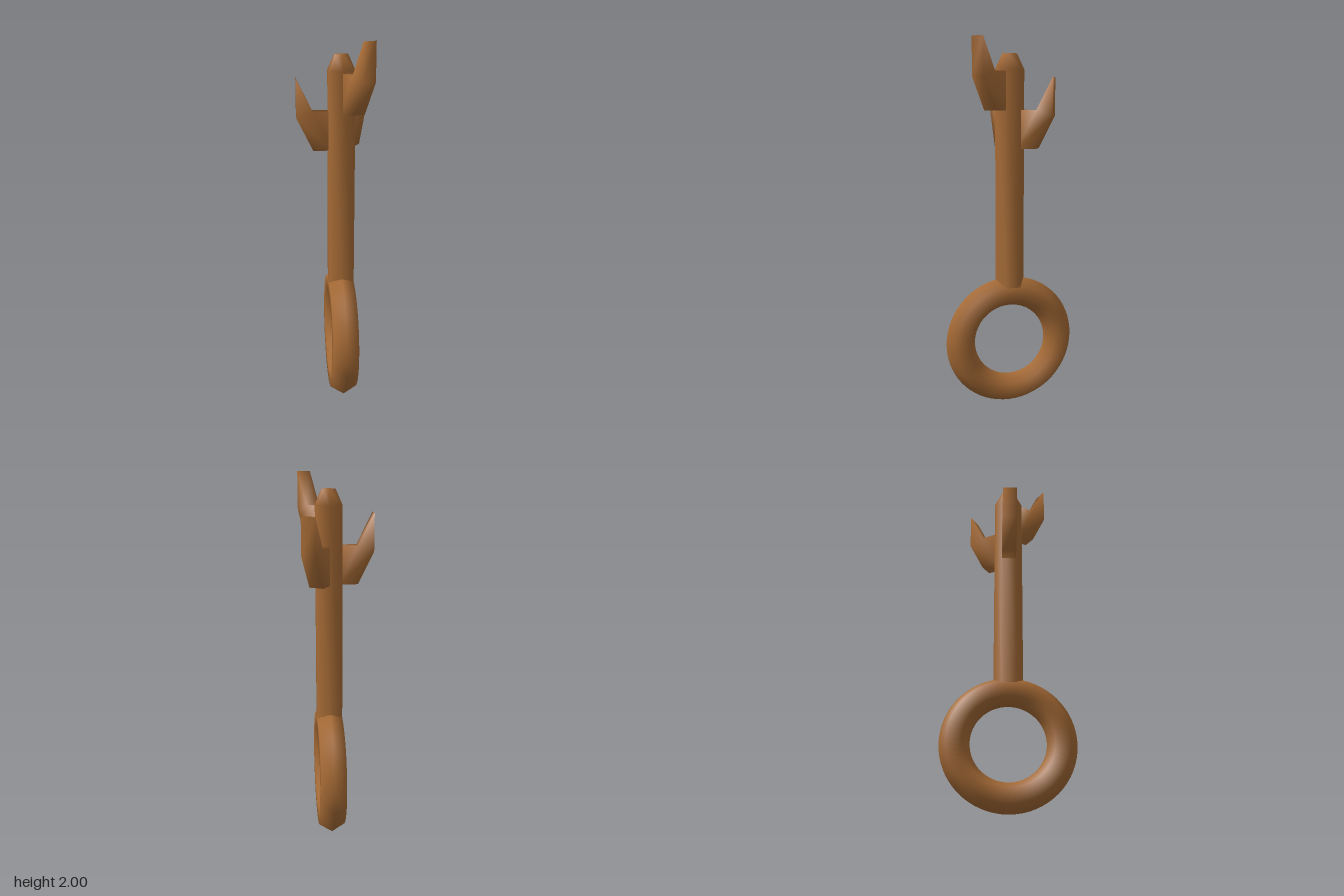
import * as THREE from 'three';
import { mergeVertices } from 'three/addons/utils/BufferGeometryUtils.js';

const AXIS_X = 0.04; // the shaft sits slightly off centre
const material = new THREE.MeshStandardMaterial({ color: 0xa56a35 });

// Weld all corners so that shading runs smoothly over the edges
function smooth(geometry) {
  geometry.deleteAttribute('normal');
  geometry.deleteAttribute('uv');
  const welded = mergeVertices(geometry, 1e-4);
  welded.computeVertexNormals();
  return welded;
}

function addPart(parent, name, geometry) {
  const mesh = new THREE.Mesh(geometry, material);
  mesh.name = name;
  parent.add(mesh);
  return mesh;
}

export function createModel() {
  const group = new THREE.Group();
  group.name = 'key';

  // Ring handle: six-sided tube, standing in the YZ plane
  const ring = addPart(group, 'ringHandle', new THREE.TorusGeometry(0.28, 0.08, 6, 64));
  ring.rotation.y = Math.PI / 2;
  ring.position.set(AXIS_X, 0.361, 0);

  // Six-sided shaft with a tapered tip
  const profile = [[0.08, 0.675], [0.08, 1.84], [0.04, 1.92], [0, 1.92]]
    .map(([r, y]) => new THREE.Vector2(r, y));
  addPart(group, 'shaft', smooth(new THREE.LatheGeometry(profile, 6))).position.x = AXIS_X;

  // Upswept teeth, one of them set higher
  const outline = [[0.05, 0], [0.15, 0], [0.235, 0.17], [0.235, 0.37], [0.15, 0.2], [0.05, 0.2]]
    .map(([x, y]) => new THREE.Vector2(x, y));
  const toothGeometry = smooth(new THREE.ExtrudeGeometry(new THREE.Shape(outline), {
    depth: 0.08, bevelEnabled: false,
  }).translate(0, 0, -0.04));
  const teeth = [['rightTooth', Math.PI, 1.43], ['backTooth', Math.PI / 3, 1.43], ['frontTooth', -Math.PI / 3, 1.63]];
  for (const [name, angle, y] of teeth) {
    const tooth = addPart(group, name, toothGeometry);
    tooth.rotation.y = angle;
    tooth.position.set(AXIS_X, y, 0);
  }

  return group;
}
